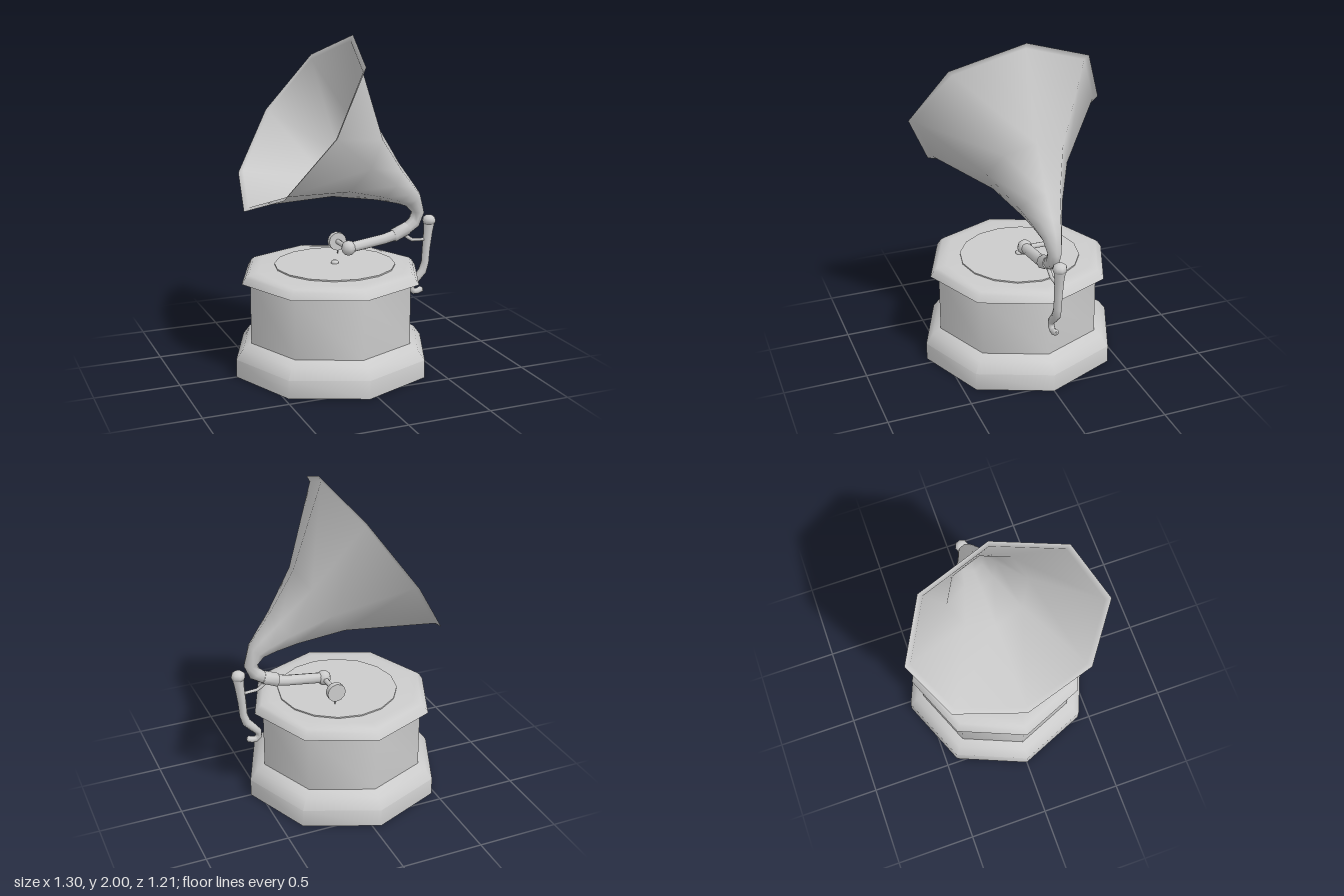
import * as THREE from 'three';
import { toCreasedNormals } from 'three/addons/utils/BufferGeometryUtils.js';

const material = new THREE.MeshStandardMaterial({ color: 0xcccccc, side: THREE.DoubleSide });

function part(name, geometry, x = 0, y = 0, z = 0) {
  const mesh = new THREE.Mesh(geometry, material);
  mesh.name = name;
  mesh.position.set(x, y, z);
  return mesh;
}

// Turned shape from [radius, height] points, creased only at hard edges
function turned(profile, sides) {
  const points = profile.map(([r, y]) => new THREE.Vector2(r, y));
  return toCreasedNormals(new THREE.LatheGeometry(points, sides), 0.9);
}

// Skin over rings, each given by two opposite points [ax, ay, bx, by] in the z = 0 plane
function skin(rings, sides = 8) {
  const position = [], index = [];
  rings.forEach(([ax, ay, bx, by], i) => {
    const ux = (ax - bx) / 2, uy = (ay - by) / 2, r = Math.hypot(ux, uy);
    for (let j = 0; j < sides; j++) {
      const t = (j / sides) * Math.PI * 2;
      position.push((ax + bx) / 2 + ux * Math.cos(t), (ay + by) / 2 + uy * Math.cos(t), r * Math.sin(t));
      if (i === rings.length - 1) continue;
      const a = i * sides + j, b = i * sides + (j + 1) % sides;
      index.push(a, b, a + sides, b, b + sides, a + sides);
    }
  });
  const geometry = new THREE.BufferGeometry();
  geometry.setAttribute('position', new THREE.Float32BufferAttribute(position, 3));
  geometry.setIndex(index);
  geometry.computeVertexNormals();
  return geometry;
}

// Tapered rod along [x, y, radius] points
function rod(path, sides = 8) {
  return skin(path.map(([x, y, r], i) => {
    const p = path[Math.max(i - 1, 0)], q = path[Math.min(i + 1, path.length - 1)];
    const length = Math.hypot(q[0] - p[0], q[1] - p[1]);
    const ux = (-(q[1] - p[1]) / length) * r, uy = ((q[0] - p[0]) / length) * r;
    return [x + ux, y + uy, x - ux, y - uy];
  }), sides);
}

export function createModel() {
  const model = new THREE.Group();
  model.name = 'gramophone';

  // Octagonal cabinet, hollow and open underneath
  model.add(part('cabinet', turned([
    [0.605, 0], [0.605, 0.11], [0.56, 0.17], [0.51, 0.2], [0.51, 0.57],
  ], 8), -0.05));
  model.add(part('lid', turned([
    [0.5, 0.57], [0.562, 0.57], [0.54, 0.605], [0.52, 0.622], [0.46, 0.63], [0, 0.63],
  ], 8), -0.05));

  // Record platter and spindle
  model.add(part('platter', turned([[0.365, 0.625], [0.365, 0.638], [0, 0.638]], 16), -0.025));
  model.add(part('spindle', turned([[0.025, 0.635], [0.025, 0.647], [0.015, 0.655], [0, 0.655]], 8), -0.025));

  // Horn with a flared lip, narrowing into the bent neck
  model.add(part('horn', skin([
    [0.09, 2.0, -0.59, 1.005],
    [0.075, 1.965, -0.56, 1.028],
    [0.25, 1.46, -0.04, 1.05],
    [0.4, 1.215, 0.245, 1.005],
    [0.485, 1.1, 0.37, 0.975],
    [0.535, 1.03, 0.445, 0.95],
    [0.568, 0.905, 0.485, 0.91],
    [0.53, 0.815, 0.474, 0.875],
    [0.468, 0.775, 0.44, 0.845],
  ])));

  // Tone arm with a thicker collar where it meets the neck
  model.add(part('collar', skin([
    [0.47, 0.77, 0.44, 0.85], [0.375, 0.73, 0.355, 0.815], [0.37, 0.755, 0.36, 0.79],
  ])));
  model.add(part('toneArm', rod([[0.39, 0.777, 0.036], [0.3, 0.755, 0.033], [0.08, 0.725, 0.033]])));
  model.add(part('armEnd', new THREE.SphereGeometry(0.046, 8, 6), 0.065, 0.722));

  // Sound box on a side stem, with its needle
  const soundBox = new THREE.Group();
  soundBox.name = 'soundBox';
  const stem = new THREE.CylinderGeometry(0.016, 0.016, 0.18, 8).rotateX(Math.PI / 2);
  const disc = toCreasedNormals(new THREE.CylinderGeometry(0.057, 0.057, 0.033, 12).rotateX(Math.PI / 2), 0.9);
  soundBox.add(
    part('stem', stem, 0, 0, -0.09),
    part('disc', disc, 0, 0, -0.187),
    part('needle', new THREE.CylinderGeometry(0.007, 0.002, 0.045, 6), 0.005, -0.062, -0.187),
  );
  soundBox.position.set(0.065, 0.72, 0);
  model.add(soundBox);

  // Crank with a hooked end, knob and short shaft
  model.add(part('crank', rod([
    [0.605, 0.83, 0.035], [0.6, 0.78, 0.03], [0.588, 0.67, 0.026], [0.582, 0.58, 0.025],
    [0.565, 0.525, 0.027], [0.525, 0.48, 0.025], [0.493, 0.445, 0.022], [0.49, 0.415, 0.02],
    [0.51, 0.397, 0.019], [0.535, 0.398, 0.02], [0.558, 0.408, 0.02], [0.568, 0.414, 0.004],
  ])));
  model.add(part('crankKnob', new THREE.SphereGeometry(0.044, 8, 6).scale(1, 0.8, 1), 0.605, 0.847));
  model.add(part('crankShaft', rod([
    [0.43, 0.785, 0.012], [0.455, 0.755, 0.012], [0.49, 0.732, 0.011], [0.59, 0.725, 0.01],
  ], 6)));

  return model;
}
